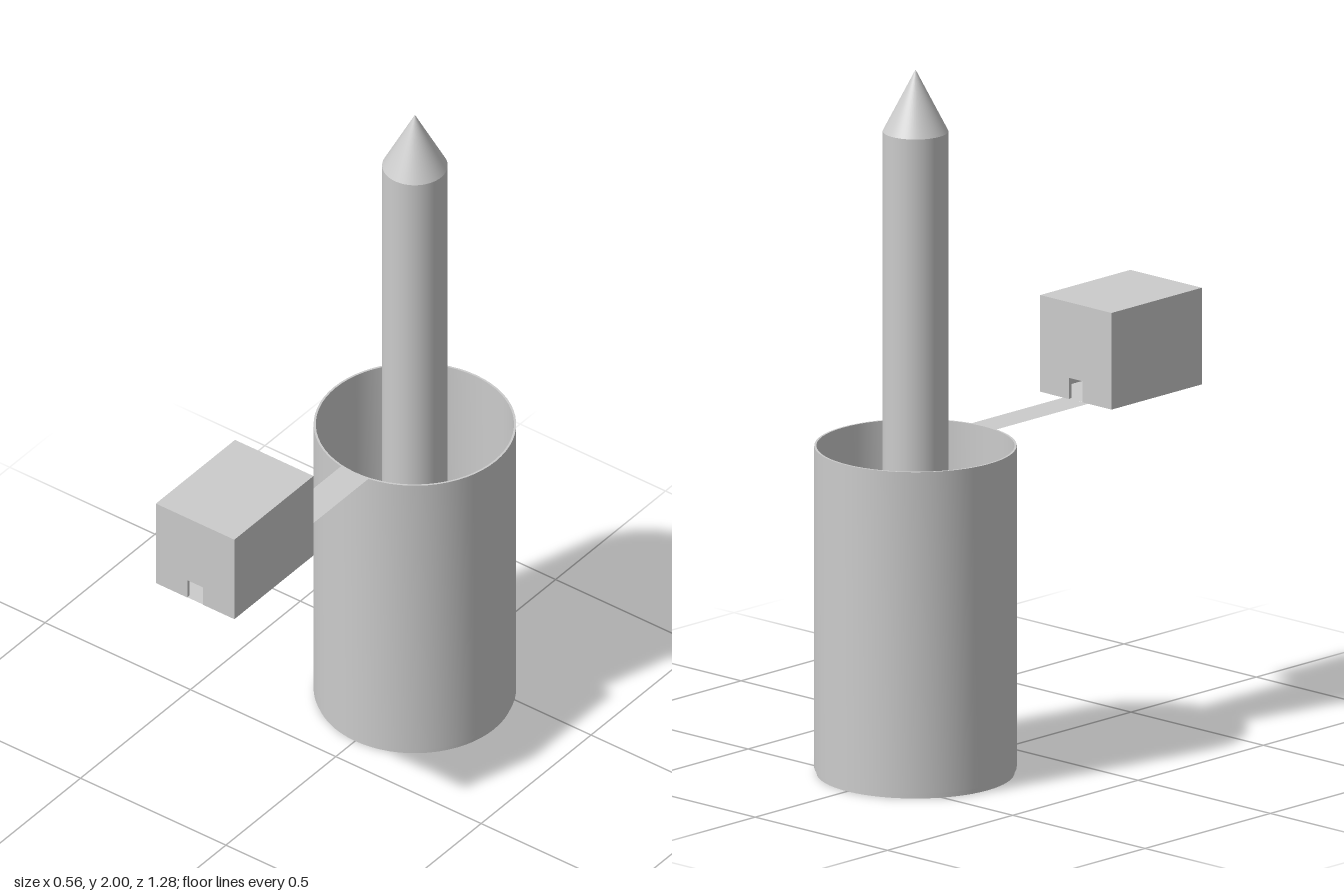
import * as THREE from 'three';
import { toCreasedNormals } from 'three/addons/utils/BufferGeometryUtils.js';

const SEG = 64;
const TOWER_Z = -0.36;
const DECK_Y = 0.93;

const material = new THREE.MeshStandardMaterial({ color: 0xcccccc });
const thinMaterial = new THREE.MeshStandardMaterial({ color: 0xcccccc, side: THREE.DoubleSide });

function part(name, geometry, x = 0, y = 0, z = 0, mat = material) {
  const mesh = new THREE.Mesh(geometry, mat);
  mesh.name = name;
  mesh.position.set(x, y, z);
  return mesh;
}

// Hard-edged ring turned from a closed profile of [radius, height] pairs.
function turned(profile) {
  const points = profile.map(([r, y]) => new THREE.Vector2(r, y));
  return toCreasedNormals(new THREE.LatheGeometry(points, SEG), 0.5);
}

// Wall panel with a doorway cut up from its bottom edge.
function doorWall(halfWidth, height, halfDoor, doorHeight, thickness) {
  const shape = new THREE.Shape([
    [-halfWidth, 0], [-halfDoor, 0], [-halfDoor, doorHeight], [halfDoor, doorHeight],
    [halfDoor, 0], [halfWidth, 0], [halfWidth, height], [-halfWidth, height],
  ].map(([x, y]) => new THREE.Vector2(x, y)));
  return new THREE.ExtrudeGeometry(shape, { depth: thickness, bevelEnabled: false });
}

function createTower() {
  const tower = new THREE.Group();
  tower.name = 'tower';
  tower.position.z = TOWER_Z;

  // Open-topped thin shell
  tower.add(part('outerShell', turned([
    [0.272, 0.015], [0.278, 0.015], [0.278, DECK_Y], [0.272, DECK_Y], [0.272, 0.015],
  ])));

  // Floor plate with a round hole beneath the shaft
  tower.add(part('basePlate', turned([
    [0.09, 0], [0.272, 0], [0.272, 0.03], [0.09, 0.03], [0.09, 0],
  ])));

  // Central shaft and pointed tip
  tower.add(part('shaft', new THREE.CylinderGeometry(0.09, 0.09, 1.795, SEG), 0, 0.9275));
  tower.add(part('tip', new THREE.ConeGeometry(0.09, 0.175, SEG), 0, 1.9125));
  return tower;
}

function createCabin() {
  const cabin = new THREE.Group();
  cabin.name = 'cabin';
  cabin.position.set(0, DECK_Y, 0.46);
  const half = 0.135, height = 0.275, depth = 0.36, t = 0.01;

  // Front and back walls with doorways
  cabin.add(part('frontWall', doorWall(half, height, 0.027, 0.06, t), 0, 0, depth / 2 - t));
  cabin.add(part('backWall', doorWall(half, height, 0.025, 0.06, t), 0, 0, -depth / 2));

  // Side walls
  for (const [side, name] of [[1, 'leftWall'], [-1, 'rightWall']]) {
    cabin.add(part(name, new THREE.BoxGeometry(t, height, depth - 2 * t), side * (half - t / 2), height / 2));
  }

  // Roof and floor fitted between the walls
  const slab = new THREE.BoxGeometry(2 * (half - t), t, depth - 2 * t);
  cabin.add(part('roof', slab, 0, height - t / 2));
  const floor = new THREE.PlaneGeometry(2 * half, depth).rotateX(-Math.PI / 2);
  cabin.add(part('floor', floor, 0, 0.001, 0, thinMaterial));
  return cabin;
}

export function createModel() {
  const model = new THREE.Group();
  model.name = 'towerWithCabin';
  model.add(createTower(), createCabin());

  // Thin walkway joining shell rim and cabin
  const walkway = new THREE.PlaneGeometry(0.094, 0.37).rotateX(-Math.PI / 2);
  model.add(part('walkway', walkway, 0, DECK_Y, 0.097, thinMaterial));
  return model;
}
